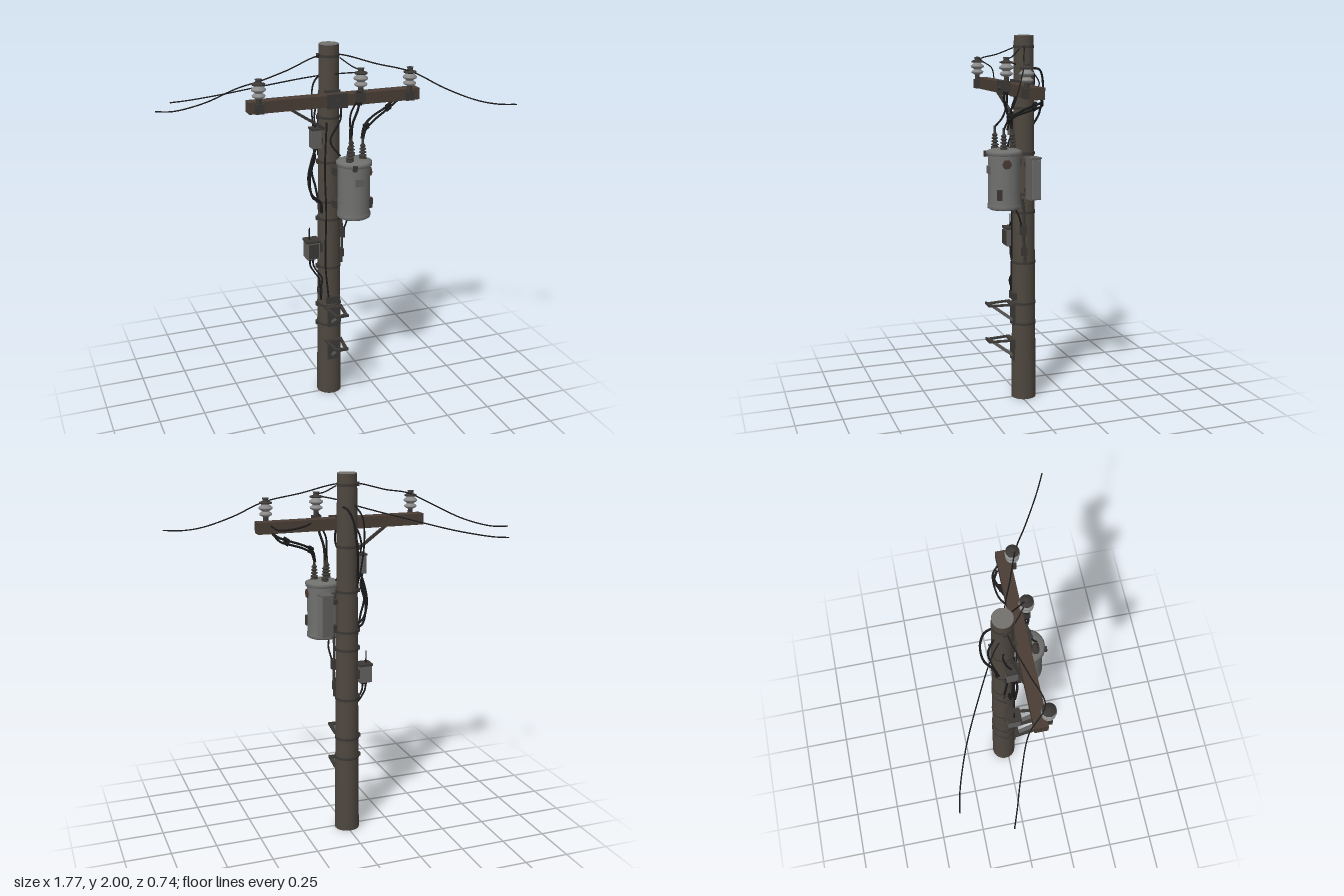
import * as THREE from 'three';

const mat = (name, color) => {
  const m = new THREE.MeshStandardMaterial({ color });
  m.name = name;
  return m;
};
const V = (p) => new THREE.Vector3(...p);
const PX = -0.005, PZ = -0.02; // pole axis

export function createModel() {
  const root = new THREE.Group();
  root.name = 'utilityPole';

  const wood = mat('poleWood', 0x4e473f);
  const armWood = mat('crossarmWood', 0x4a3d35);
  const capGrey = mat('poleCap', 0x74716d);
  const steel = mat('darkSteel', 0x3b3835);
  const tank = mat('tankGrey', 0x70706f);
  const boxGrey = mat('cabinetGrey', 0x62605e);
  const ceramic = mat('ceramic', 0x8b8b8b);
  const rubber = mat('blackRubber', 0x1d1c1c);
  const rust = mat('rustPatch', 0x4b3a33);

  const add = (name, geo, material, pos = [0, 0, 0], parent = root) => {
    const m = new THREE.Mesh(geo, material);
    m.name = name;
    m.position.set(...pos);
    parent.add(m);
    return m;
  };
  const box = (name, size, material, pos, parent) =>
    add(name, new THREE.BoxGeometry(...size), material, pos, parent);
  const cyl = (name, rt, rb, h, material, pos, parent, seg = 16) =>
    add(name, new THREE.CylinderGeometry(rt, rb, h, seg), material, pos, parent);
  const cable = (name, pts, r = 0.005, material = rubber) =>
    add(name, new THREE.TubeGeometry(new THREE.CatmullRomCurve3(pts.map(V)), pts.length * 6, r, 6), material);
  // straight bar with a rectangular section from a to b
  const bar = (name, a, b, w, d, material) => {
    const A = V(a), B = V(b);
    const m = box(name, [w, d, A.distanceTo(B)], material, A.clone().add(B).multiplyScalar(0.5).toArray());
    m.lookAt(B);
    return m;
  };
  const lathe = (name, pts, material, pos, parent, seg = 20) =>
    add(name, new THREE.LatheGeometry(pts.map((p) => new THREE.Vector2(...p)), seg), material, pos, parent);
  const poleR = (y) => 0.069 - 0.0085 * y;

  // Pole with cap and steel bands
  cyl('pole', poleR(2), poleR(0), 1.997, wood, [PX, 0.9985, PZ], root, 28);
  cyl('poleTop', 0.05, 0.051, 0.003, capGrey, [PX, 1.9985, PZ], root, 28);
  [0.435, 0.55, 0.78, 1.06, 1.16, 1.38, 1.62, 1.94].forEach((y) => {
    const r = poleR(y) + 0.003;
    cyl('poleBand', r, r, 0.014, steel, [PX, y, PZ], root, 28);
    box('bandClamp', [0.018, 0.022, 0.02], steel, [PX - r, y, PZ], root);
  });

  // Crossarm, mounting bracket and diagonal brace
  box('crossarm', [0.925, 0.06, 0.066], armWood, [-0.005, 1.727, 0.068]);
  box('crossarmBracket', [0.11, 0.075, 0.012], steel, [PX, 1.727, 0.105]);
  cyl('crossarmBolt', 0.01, 0.01, 0.03, steel, [PX, 1.727, 0.11], root, 8).rotation.x = Math.PI / 2;
  box('crossarmSeat', [0.08, 0.09, 0.03], steel, [PX, 1.725, 0.028]);
  bar('armBrace', [-0.25, 1.7, 0.05], [-0.045, 1.565, 0.02], 0.014, 0.014, steel);

  // Pin insulators
  const insulator = (x, y, z) => {
    const g = new THREE.Group();
    g.name = 'insulator';
    g.position.set(x, y, z);
    root.add(g);
    box('insulatorBracket', [0.045, 0.05, 0.035], steel, [0, -0.04, 0], g);
    cyl('insulatorPin', 0.012, 0.016, 0.09, steel, [0, -0.01, 0], g, 10);
    lathe('insulatorBody', [[0, 0.012], [0.018, 0.012], [0.032, 0.02], [0.034, 0.028], [0.02, 0.038],
      [0.02, 0.042], [0.036, 0.052], [0.037, 0.06], [0.022, 0.072], [0.02, 0.08], [0, 0.08]], ceramic, [0, 0, 0], g);
    lathe('insulatorCap', [[0, 0.078], [0.033, 0.079], [0.034, 0.086], [0.016, 0.092], [0.014, 0.1],
      [0.018, 0.108], [0, 0.11]], steel, [0, 0, 0], g);
  };
  insulator(-0.42, 1.765, 0.108);
  insulator(0.395, 1.765, 0.108);
  insulator(0.117, 1.782, 0.118);

  // Overhead line wires
  cable('mainWire', [[-0.885, 1.692, -0.145], [-0.8, 1.693, -0.115], [-0.65, 1.735, -0.065], [-0.5, 1.81, 0],
    [-0.4, 1.862, 0.095], [-0.25, 1.893, 0.05], [-0.06, 1.942, -0.01], [0.05, 1.942, 0.0],
    [0.22, 1.895, 0.06], [0.4, 1.85, 0.125], [0.55, 1.77, 0.2], [0.7, 1.71, 0.275], [0.8, 1.692, 0.325],
    [0.885, 1.692, 0.365]], 0.0035);
  cable('secondWire', [[-0.765, 1.676, -0.37], [-0.68, 1.683, -0.355], [-0.5, 1.715, -0.295], [-0.3, 1.765, -0.2],
    [-0.07, 1.825, -0.065], [0.03, 1.855, 0.05], [0.117, 1.87, 0.12]], 0.0035);
  cable('wireTail', [[0.117, 1.88, 0.12], [0.09, 1.89, 0.08], [0.04, 1.93, 0.02]], 0.0035);

  // Transformer tank
  const tx = 0.083, tz = 0.12;
  lathe('transformerTank', [[0, 1.1], [0.08, 1.1], [0.084, 1.106], [0.089, 1.106], [0.089, 1.125], [0.085, 1.127],
    [0.085, 1.2], [0.086, 1.203], [0.085, 1.206], [0.085, 1.392]], tank, [tx, 0, tz], root, 36);
  lathe('transformerLid', [[0.085, 1.388], [0.094, 1.388], [0.094, 1.406], [0.085, 1.41], [0.06, 1.42], [0, 1.424]],
    tank, [tx, 0, tz], root, 36);
  box('tankNameplate', [0.05, 0.04, 0.006], boxGrey, [tx, 1.31, tz + 0.085]);
  box('lidClamp', [0.02, 0.03, 0.02], steel, [tx - 0.03, 1.392, tz + 0.09]);
  const patch = cyl('rustPatch', 0.026, 0.026, 0.008, rust, [tx + 0.085, 1.345, tz + 0.012], root, 6);
  patch.rotation.z = Math.PI / 2;
  box('tankHandle', [0.016, 0.055, 0.025], steel, [tx + 0.075, 1.185, tz + 0.05]);
  [1.16, 1.34].forEach((y) => {
    box('tankHanger', [0.07, 0.04, 0.06], steel, [0.025, y, 0.045]);
  });

  // Transformer bushings with stacked sheds
  const bushing = (x, z, h) => {
    const pts = [[0.02, 0], [0.02, 0.012]];
    for (let i = 0; i < 4; i++) {
      const y = 0.016 + i * 0.017, r = 0.021 - i * 0.002;
      pts.push([0.01, y], [r, y + 0.004], [r, y + 0.007], [0.01, y + 0.014]);
    }
    pts.push([0.007, 0.085], [0.006, h], [0, h]);
    lathe('bushing', pts, steel, [x, 1.415, z], root, 14);
  };
  bushing(0.045, 0.158, 0.12);
  bushing(0.125, 0.135, 0.115);
  bushing(0.085, 0.075, 0.115);

  // Service leads from the bushings
  [0, 0.018].forEach((o) => {
    cable('crossarmLead', [[0.125, 1.52, 0.135 - o], [0.145, 1.565 + o, 0.12 - o], [0.2, 1.6 + o, 0.09 - o],
      [0.29, 1.635 + o, 0.04], [0.35, 1.66 + o, 0.01], [0.385, 1.7, 0.03]], 0.006);
    [[0.15, 1.575 + o, 0.115], [0.31, 1.645 + o, 0.035]].forEach((p) =>
      cyl('leadSplice', 0.011, 0.011, 0.03, rubber, p, root, 8).rotation.z = -1);
  });
  cable('armLoop', [[0.17, 1.74, 0.04], [0.22, 1.73, 0.01], [0.3, 1.72, -0.002], [0.36, 1.72, 0.005], [0.39, 1.74, 0.035]], 0.005);
  cable('fuseLead', [[0.085, 1.52, 0.075], [0.082, 1.6, 0.1], [0.1, 1.68, 0.125], [0.117, 1.75, 0.118]], 0.007);
  cable('fuseLead', [[0.045, 1.53, 0.158], [0.06, 1.58, 0.12], [0.07, 1.65, 0.1], [0.1, 1.72, 0.11]], 0.005);
  cable('innerLead', [[0.03, 1.42, 0.06], [-0.02, 1.5, 0.045], [0.03, 1.62, 0.06], [0.04, 1.7, 0.035]], 0.005);
  cyl('fuseTube', 0.016, 0.014, 0.07, rubber, [0.11, 1.735, 0.118], root, 10);

  // Meter cabinet behind the transformer
  const cabinet = new THREE.Group();
  cabinet.name = 'cabinet';
  cabinet.position.set(0.118, 1.255, -0.03);
  cabinet.rotation.y = 0.18;
  root.add(cabinet);
  box('cabinetBody', [0.062, 0.22, 0.058], boxGrey, [0, 0, 0], cabinet);
  box('cabinetDoor', [0.008, 0.205, 0.05], tank, [0.033, 0, 0], cabinet);
  box('cabinetRoof', [0.07, 0.008, 0.066], boxGrey, [0, 0.112, 0], cabinet);
  [-0.07, 0.07].forEach((y) => box('cabinetBracket', [0.06, 0.025, 0.03], steel, [-0.05, y, 0], cabinet));

  // Right-hand switch box and its hanging cables
  box('switchBox', [0.05, 0.1, 0.055], boxGrey, [-0.09, 1.515, 0.005]);
  box('switchBoxLid', [0.056, 0.01, 0.061], steel, [-0.09, 1.567, 0.005]);
  box('switchBoxMount', [0.04, 0.03, 0.03], steel, [-0.055, 1.5, 0]);
  [[0.02, -0.135, 1.3], [0, -0.12, 1.27], [-0.025, -0.1, 1.33]].forEach(([z, x, y]) =>
    cable('hangingCable', [[-0.09, 1.47, z], [x + 0.015, 1.4, z + 0.01], [x, y, z], [x + 0.02, y - 0.09, z],
      [-0.065, 1.16, z], [-0.06, 1.1, z]], 0.006));
  cable('switchFeed', [[-0.09, 1.57, 0.005], [-0.085, 1.63, -0.02], [-0.06, 1.7, -0.03], [-0.03, 1.75, 0.03]], 0.005);

  // Cable loops at the back
  cable('backLoop', [[0.03, 1.83, -0.06], [0.02, 1.82, -0.1], [0, 1.77, -0.125], [-0.015, 1.68, -0.13],
    [-0.03, 1.58, -0.115], [-0.045, 1.5, -0.075], [-0.05, 1.4, -0.06]], 0.006);
  cable('backLoop', [[-0.03, 1.84, -0.065], [-0.06, 1.78, -0.1], [-0.075, 1.66, -0.09], [-0.07, 1.52, -0.065],
    [-0.055, 1.42, -0.05]], 0.005);

  // Lower equipment box with antenna
  const lower = [-0.118, 0.9, 0.015];
  box('radioBox', [0.07, 0.1, 0.07], boxGrey, lower);
  box('radioBoxLid', [0.078, 0.012, 0.078], steel, [-0.118, 0.95, 0.015]);
  box('radioBoxDoor', [0.055, 0.08, 0.008], steel, [-0.118, 0.897, 0.052]);
  box('radioBoxMount', [0.04, 0.05, 0.035], steel, [-0.07, 0.9, 0]);
  cyl('antenna', 0.003, 0.005, 0.07, rubber, [-0.13, 0.988, 0.015], root, 8);
  [0, 0.018].forEach((o) => {
    cyl('cableGland', 0.008, 0.008, 0.02, rubber, [-0.128 + o, 0.842, 0.015], root, 8);
    cable('radioCable', [[-0.128 + o, 0.85, 0.015], [-0.125 + o, 0.8, 0.015], [-0.1 + o, 0.755, 0.015],
      [-0.078 + o, 0.72, 0.02], [-0.074, 0.66, 0.02 + o], [-0.065, 0.59, 0.02]], 0.005);
  });
  box('junctionBox', [0.025, 0.035, 0.03], steel, [-0.07, 0.645, 0.015]);

  // Conduit and fittings along the left side
  cable('conduit', [[0.06, 1.14, 0.01], [0.06, 1.05, 0], [0.062, 0.95, 0.005], [0.063, 0.79, -0.005]], 0.008, steel);
  box('conduitFitting', [0.024, 0.055, 0.035], steel, [0.062, 0.97, 0.005]);
  box('conduitFitting', [0.02, 0.045, 0.03], steel, [0.06, 0.85, 0]);
  cable('conduitLoop', [[0.07, 1.1, 0.06], [0.08, 1.06, 0.04], [0.07, 1.0, 0.02], [0.06, 0.96, 0.01]], 0.005);
  cable('frontCable', [[-0.035, 1.6, 0.03], [-0.045, 1.35, 0.03], [-0.04, 1.1, 0.034], [-0.045, 0.8, 0.035], [-0.03, 0.6, 0.045]], 0.005);
  box('frontClamp', [0.075, 0.04, 0.025], steel, [PX, 0.59, 0.04]);

  // Folding steps: open frame, tapered brace and back plate
  const frame = new THREE.Shape([[-0.052, 0], [0.052, 0], [0.035, 0.145], [-0.035, 0.145]].map((p) => new THREE.Vector2(...p)));
  frame.holes.push(new THREE.Path([[-0.033, 0.025], [-0.02, 0.12], [0.02, 0.12], [0.033, 0.025]].map((p) => new THREE.Vector2(...p))));
  [0.55, 0.345].forEach((y) => {
    const f = add('stepFrame', new THREE.ExtrudeGeometry(frame, { depth: 0.01, bevelEnabled: false }), steel, [PX, y + 0.004, 0.045]);
    f.rotation.x = Math.PI / 2;
    box('stepBackPlate', [0.06, 0.125, 0.012], steel, [PX, y - 0.062, 0.044]);
    bar('stepBrace', [PX, y - 0.1, 0.045], [PX, y - 0.006, 0.165], 0.024, 0.016, boxGrey);
    bar('stepLip', [PX - 0.036, y + 0.002, 0.187], [PX + 0.036, y + 0.002, 0.187], 0.01, 0.014, steel);
  });

  return root;
}
